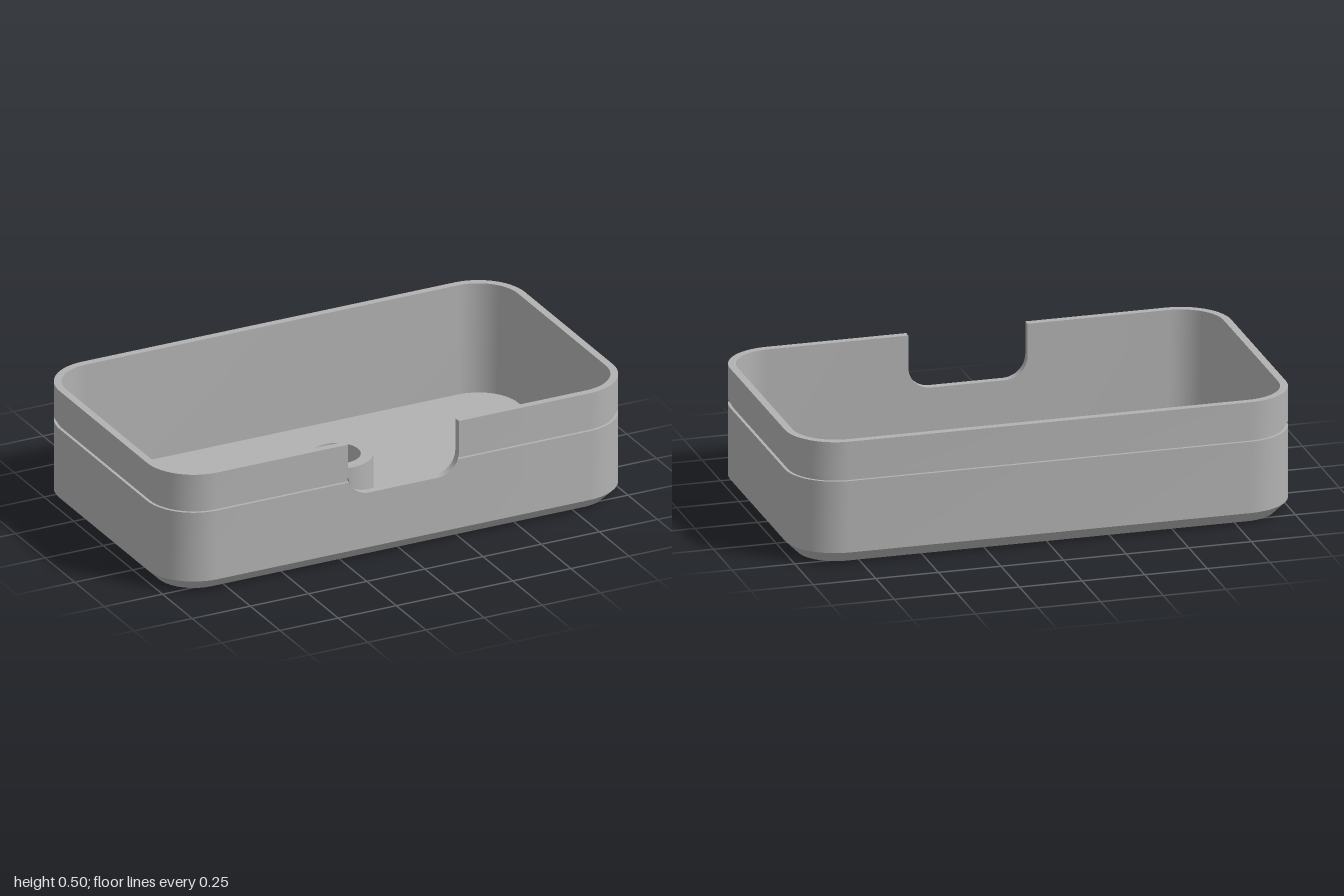
import * as THREE from 'three';
import { toCreasedNormals } from 'three/addons/utils/BufferGeometryUtils.js';

const HALF_X = 1, HALF_Z = 0.57, RADIUS = 0.2, HEIGHT = 0.5;
const WALL = 0.03, FLOOR = 0.04, CHAMFER = 0.05;
const NOTCH = { half: 0.238, bottom: 0.28, radius: 0.09 };
const BOSS = { outer: 0.143, hole: 0.095, top: 0.18 };
const STEPS = 14;

// Columns around the rounded rectangle; top limits the wall height (for the notch)
function makeColumns() {
  const columns = [];
  const cx = HALF_X - RADIUS, cz = HALF_Z - RADIUS;
  [[1, 1], [-1, 1], [-1, -1], [1, -1]].forEach(([sx, sz], q) => {
    for (let i = 0; i <= STEPS; i++) {
      columns.push({ cx: sx * cx, cz: sz * cz, angle: (q + i / STEPS) * Math.PI / 2, top: HEIGHT });
    }
    if (q > 0) return;
    // Notch in the front wall, with rounded lower corners
    const side = [[NOTCH.half, HEIGHT]];
    for (let i = 0; i <= 10; i++) {
      const a = (i / 10) * Math.PI / 2;
      side.push([
        NOTCH.half - NOTCH.radius * (1 - Math.cos(a)),
        NOTCH.bottom + NOTCH.radius * (1 - Math.sin(a)),
      ]);
    }
    const mirrored = side.map(([x, top]) => [-x, top]).reverse();
    for (const [x, top] of [...side, ...mirrored]) {
      columns.push({ cx: x, cz, angle: Math.PI / 2, top });
    }
  });
  return columns;
}

const place = (c, inset, y) => new THREE.Vector3(
  c.cx + (RADIUS - inset) * Math.cos(c.angle),
  Math.min(y, c.top),
  c.cz + (RADIUS - inset) * Math.sin(c.angle));

// Sweep an [inset, y] profile around the columns
function sweepWall(columns, profile) {
  const positions = [];
  const tri = new THREE.Triangle();
  const add = (a, b, c) => {
    if (tri.set(a, b, c).getArea() < 1e-9) return;
    for (const p of [a, b, c]) positions.push(p.x, p.y, p.z);
  };
  columns.forEach((col, j) => {
    const next = columns[(j + 1) % columns.length];
    for (let k = 0; k < profile.length - 1; k++) {
      const a = place(col, ...profile[k]), b = place(col, ...profile[k + 1]);
      const c = place(next, ...profile[k]), d = place(next, ...profile[k + 1]);
      add(a, b, c);
      add(b, d, c);
    }
  });
  const geometry = new THREE.BufferGeometry();
  geometry.setAttribute('position', new THREE.Float32BufferAttribute(positions, 3));
  return toCreasedNormals(geometry, Math.PI / 6);
}

// Flat rounded rectangle with a round hole, facing up or down
function plate(inset, holeRadius, y, facing) {
  const w = HALF_X - RADIUS, d = HALF_Z - RADIUS, r = RADIUS - inset;
  const shape = new THREE.Shape();
  shape.absarc(w, d, r, 0, Math.PI / 2);
  shape.absarc(-w, d, r, Math.PI / 2, Math.PI);
  shape.absarc(-w, -d, r, Math.PI, Math.PI * 1.5);
  shape.absarc(w, -d, r, Math.PI * 1.5, Math.PI * 2);
  shape.holes.push(new THREE.Path().absarc(0, 0, holeRadius, 0, Math.PI * 2, true));
  return new THREE.ShapeGeometry(shape, 24).rotateX(-facing * Math.PI / 2).translate(0, y, 0);
}

export function createModel() {
  const group = new THREE.Group();
  const grey = new THREE.MeshStandardMaterial({ color: 0xb2b2b2 });
  grey.name = 'grey';
  const add = (name, geometry) => {
    const mesh = new THREE.Mesh(geometry, grey);
    mesh.name = name;
    group.add(mesh);
  };

  // Outer chamfer, wall with groove, rim and inner wall
  add('wall', sweepWall(makeColumns(), [
    [CHAMFER, 0], [0, CHAMFER], [0, 0.34], [0.012, 0.34], [0.012, 0.36],
    [0, 0.36], [0, HEIGHT], [WALL, HEIGHT], [WALL, FLOOR],
  ]));
  add('innerFloor', plate(WALL, BOSS.outer, FLOOR, 1));
  add('underside', plate(CHAMFER, BOSS.hole, 0, -1));

  // Central boss with a through hole
  const bossProfile = [
    [BOSS.outer, FLOOR], [BOSS.outer, BOSS.top], [BOSS.hole, BOSS.top], [BOSS.hole, 0],
  ].map(([x, y]) => new THREE.Vector2(x, y));
  add('drainBoss', toCreasedNormals(new THREE.LatheGeometry(bossProfile, 48), Math.PI / 6));

  return group;
}
